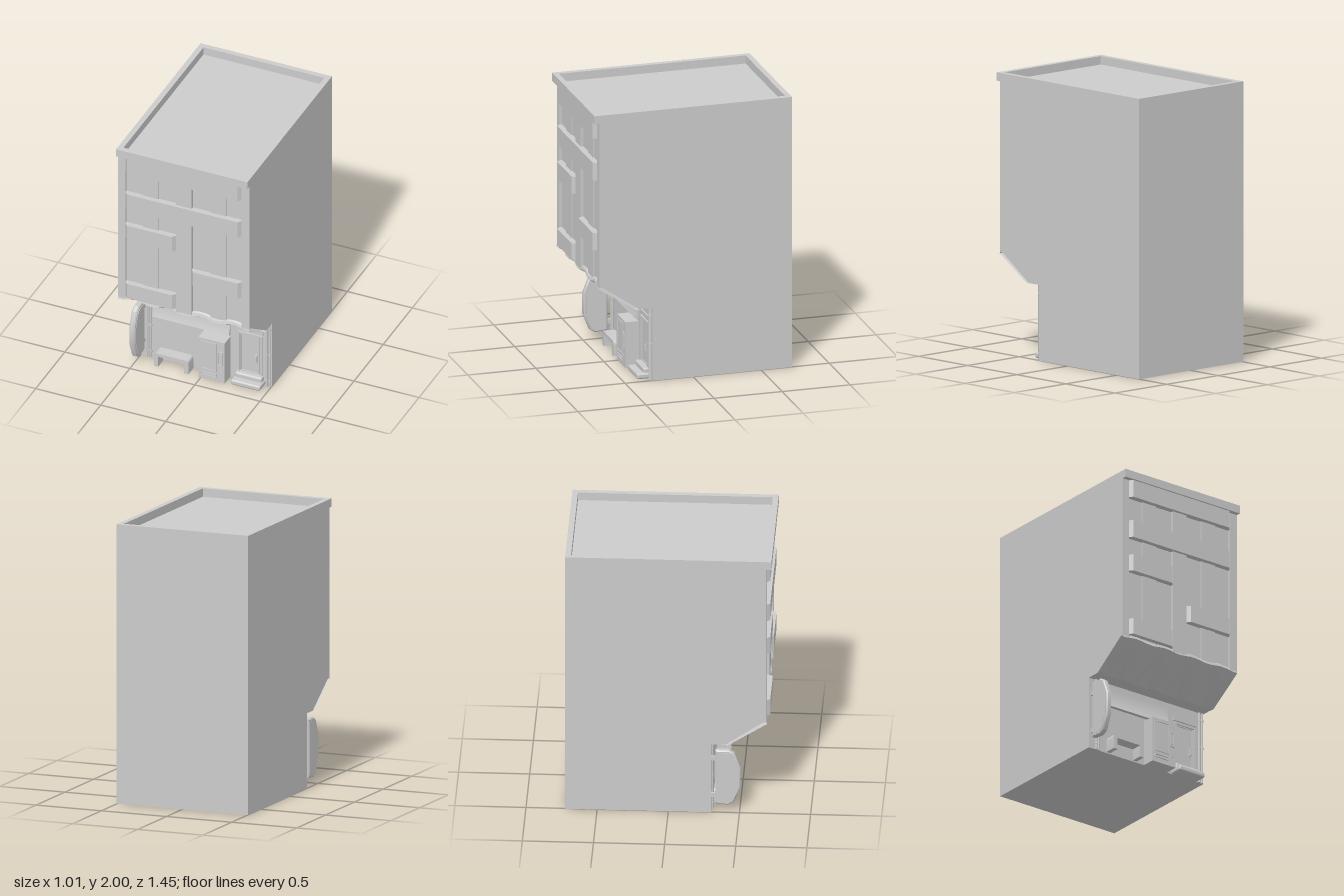
import * as THREE from 'three';
import { toCreasedNormals } from 'three/addons/utils/BufferGeometryUtils.js';
import { RoundedBoxGeometry } from 'three/addons/geometries/RoundedBoxGeometry.js';

const grey = new THREE.MeshStandardMaterial({ color: 0xcccccc });
const greyThin = new THREE.MeshStandardMaterial({ color: 0xcccccc, side: THREE.DoubleSide });

export function createModel() {
  const model = new THREE.Group();

  function add(name, geometry, material = grey) {
    const mesh = new THREE.Mesh(geometry, material);
    mesh.name = name;
    model.add(mesh);
    return mesh;
  }

  // Box given by its limits on each axis
  function box(name, x0, x1, y0, y1, z0, z1) {
    const g = new THREE.BoxGeometry(x1 - x0, y1 - y0, z1 - z0);
    g.translate((x0 + x1) / 2, (y0 + y1) / 2, (z0 + z1) / 2);
    return add(name, g);
  }

  function roundBox(name, x0, x1, y0, y1, z0, z1, r) {
    const g = new RoundedBoxGeometry(x1 - x0, y1 - y0, z1 - z0, 3, r);
    g.translate((x0 + x1) / 2, (y0 + y1) / 2, (z0 + z1) / 2);
    return add(name, g);
  }

  // Side outline of [z, y] points, extruded from x0 to x1
  function profile(name, points, x0, x1, bevel = 0) {
    const shape = new THREE.Shape(points.map(([z, y]) => new THREE.Vector2(z, y)));
    const g = new THREE.ExtrudeGeometry(shape, {
      depth: x1 - x0 - 2 * bevel, bevelEnabled: bevel > 0,
      bevelThickness: bevel, bevelSize: bevel, bevelOffset: -bevel, bevelSegments: 1,
    });
    g.rotateY(-Math.PI / 2).translate(x1 - bevel, 0, 0);
    return add(name, toCreasedNormals(g, 0.5));
  }

  // Upright rectangular frame facing +z
  function frame(name, x0, x1, y0, y1, t, z0, z1) {
    const rect = (P, d) => {
      const p = new P();
      p.moveTo(x0 + d, y0 + d);
      p.lineTo(x1 - d, y0 + d);
      p.lineTo(x1 - d, y1 - d);
      p.lineTo(x0 + d, y1 - d);
      p.closePath();
      return p;
    };
    const s = rect(THREE.Shape, 0);
    s.holes.push(rect(THREE.Path, t));
    const g = new THREE.ExtrudeGeometry(s, { depth: z1 - z0, bevelEnabled: false });
    return add(name, g.translate(0, 0, z0));
  }

  // Building mass with recessed shop front
  profile('buildingBody', [[-0.725, 0], [0.3, 0], [0.3, 0.54], [0.4, 0.54],
    [0.668, 0.725], [0.668, 1.94], [-0.725, 1.94]], -0.505, 0.505);

  // Roof parapet ring
  const ring = frame('parapet', -0.505, 0.505, -0.725, 0.725, 0.04, 0, 0.06);
  ring.geometry.rotateX(-Math.PI / 2).translate(0, 1.94, 0);

  // Facade pillars and window panes
  box('leftPillar', 0.445, 0.505, 0.725, 1.94, 0.66, 0.69);
  box('rightPillar', -0.505, -0.45, 0.725, 1.94, 0.66, 0.69);
  box('centrePillar', -0.06, 0.06, 0.725, 1.94, 0.66, 0.69);
  for (const x of [-0.26, 0.26]) box('windowPane', x - 0.06, x + 0.06, 0.725, 1.94, 0.66, 0.678);

  // Facade bands with slanted ends
  const bands = [[-0.45, 0.445, 1.81, 1.94], [-0.45, 0.445, 1.5, 1.63],
    [-0.45, -0.06, 1.24, 1.365], [0.06, 0.445, 0.985, 1.11], [-0.45, -0.06, 0.75, 0.87]];
  for (const [x0, x1, y0, y1] of bands) {
    const s = new THREE.Shape([[x0, -0.66], [x0, -0.685], [x0 + 0.022, -0.713],
      [x1 - 0.022, -0.713], [x1, -0.685], [x1, -0.66]].map(([x, y]) => new THREE.Vector2(x, y)));
    const g = new THREE.ExtrudeGeometry(s, { depth: y1 - y0, bevelEnabled: false });
    add('facadeBand', g.rotateX(-Math.PI / 2).translate(0, y0, 0));
  }

  // Wavy canopy: rows run from the top lip down to the lower edge
  const rows = [[0.66, 0.755], [0.683, 0.742], [0.69, 0.722], [0.415, 0.545], [0.3, 0.545]];
  const canopy = new THREE.PlaneGeometry(1.01, 1, 32, rows.length - 1);
  const pos = canopy.attributes.position;
  for (let i = 0; i < pos.count; i++) {
    const x = pos.getX(i);
    const row = Math.floor(i / 33);
    const wave = Math.cos((x + 0.375) * Math.PI * 8);
    const [z, y] = rows[row];
    pos.setXYZ(i, x, y + wave * (row === 4 ? 0 : 0.009), z - (row > 0 && row < 4 ? wave * 0.005 : 0));
  }
  add('canopy', toCreasedNormals(canopy, 0.6), greyThin);

  // Flared shutter over the shop window
  const flare = [[0.298, 0.36], [0.328, 0.36]];
  for (let i = 1; i <= 8; i++) {
    const t = i / 8;
    flare.push([0.303 + 0.025 * (1 - t) ** 2, 0.36 + 0.14 * t]);
  }
  flare.push([0.298, 0.5]);
  profile('shutter', flare, -0.405, 0.185);

  // Projecting blade sign with raised faces and wall brackets
  const signEdge = [[0.33, 0.07], [0.42, 0.06], [0.46, 0.085], [0.507, 0.2],
    [0.507, 0.36], [0.465, 0.465], [0.425, 0.49], [0.33, 0.49]];
  profile('bladeSign', signEdge, -0.503, -0.46, 0.008);
  profile('signFace', signEdge.map(([z, y]) => [0.415 + (z - 0.415) * 0.8, 0.275 + (y - 0.275) * 0.9]),
    -0.505, -0.456);
  for (const y of [0.13, 0.42]) box('signBracket', -0.49, -0.47, y - 0.015, y + 0.015, 0.29, 0.34);

  // Drain pipes with clamps
  for (const [x, r] of [[-0.445, 0.008], [-0.425, 0.007], [0.465, 0.009], [0.49, 0.008]]) {
    const pipe = new THREE.CylinderGeometry(r, r, 0.54, 10);
    add('drainPipe', pipe.translate(x, 0.27, 0.306));
    for (const y of [0.05, 0.27, 0.48]) {
      const clamp = new THREE.CylinderGeometry(r + 0.003, r + 0.003, 0.014, 10);
      add('pipeClamp', clamp.translate(x, y, 0.306));
    }
  }

  // Vending machine
  box('vendingMachine', -0.018, 0.185, 0, 0.34, 0.29, 0.4);
  frame('vendingWindowFrame', 0, 0.125, 0.085, 0.32, 0.008, 0.4, 0.406);
  frame('vendingPanel', 0.135, 0.172, 0.15, 0.26, 0.007, 0.4, 0.408);
  box('vendingLever', 0.146, 0.161, 0.17, 0.24, 0.4, 0.406);
  box('coinReturn', 0.142, 0.165, 0.072, 0.093, 0.4, 0.406);
  frame('dispenserSlot', 0, 0.12, 0.035, 0.062, 0.006, 0.4, 0.407);

  // Bench bent from one slab
  const bench = new THREE.Shape();
  bench.moveTo(-0.36, 0);
  bench.lineTo(-0.36, 0.085);
  bench.quadraticCurveTo(-0.36, 0.11, -0.335, 0.11);
  bench.lineTo(-0.12, 0.11);
  bench.quadraticCurveTo(-0.095, 0.11, -0.095, 0.085);
  bench.lineTo(-0.095, 0);
  bench.lineTo(-0.128, 0);
  bench.lineTo(-0.128, 0.085);
  bench.lineTo(-0.327, 0.085);
  bench.lineTo(-0.327, 0);
  const benchGeo = new THREE.ExtrudeGeometry(bench, { depth: 0.085, bevelEnabled: false, curveSegments: 5 });
  add('bench', toCreasedNormals(benchGeo.translate(0, 0, 0.315), 0.6));

  // Door with transom, handle and steps
  frame('doorFrame', 0.245, 0.435, 0.06, 0.41, 0.015, 0.295, 0.312);
  frame('doorPanel', 0.265, 0.412, 0.08, 0.392, 0.008, 0.295, 0.307);
  box('transom', 0.235, 0.44, 0.42, 0.455, 0.295, 0.31);
  box('handlePlate', 0.376, 0.394, 0.175, 0.24, 0.295, 0.31);
  box('doorHandle', 0.38, 0.39, 0.185, 0.23, 0.305, 0.322);
  roundBox('lowerStep', 0.225, 0.452, 0, 0.042, 0.28, 0.395, 0.014);
  roundBox('upperStep', 0.235, 0.442, 0.02, 0.078, 0.28, 0.345, 0.014);

  return model;
}
